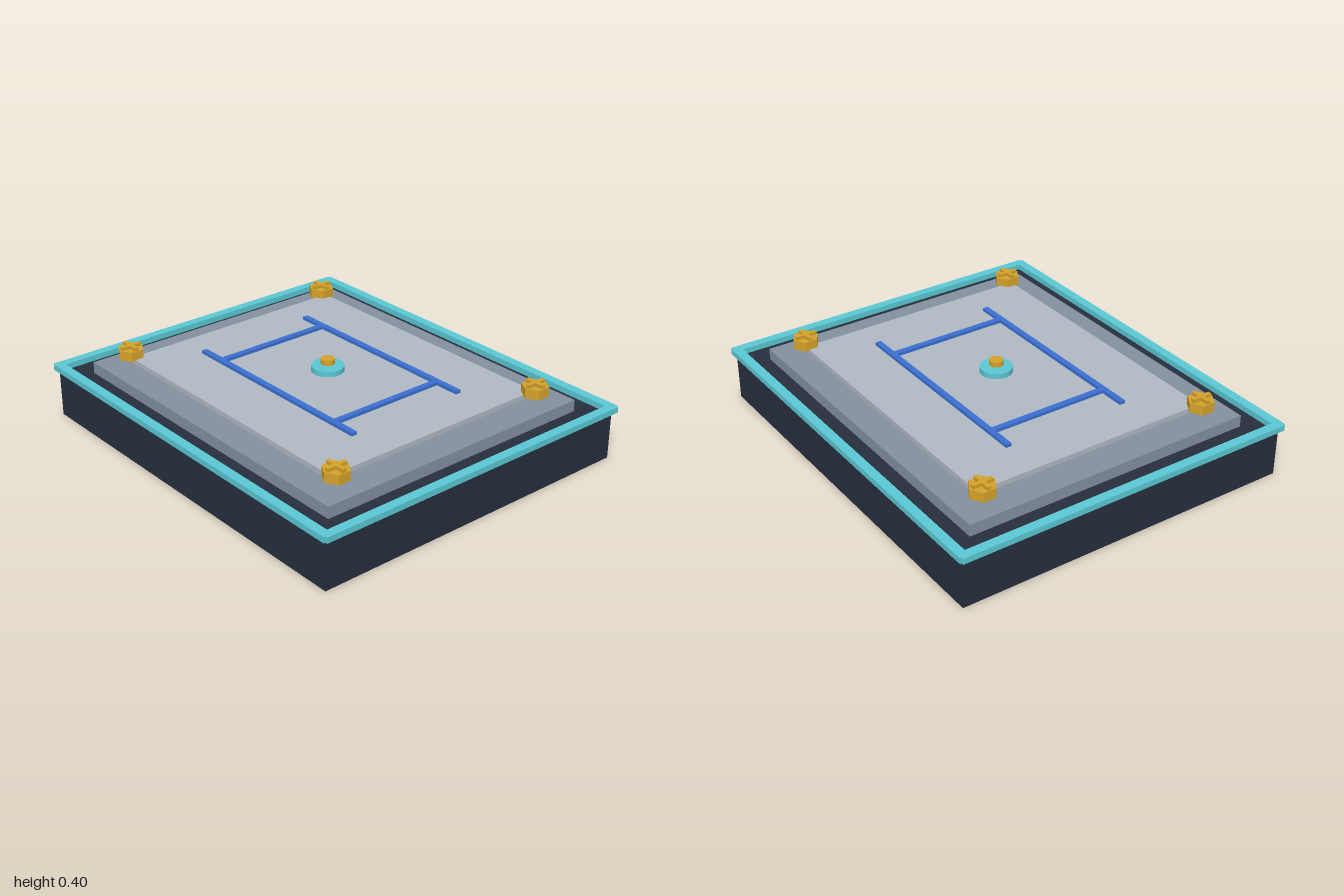
import * as THREE from 'three';

const mat = (color) => new THREE.MeshStandardMaterial({ color });

export function createModel() {
  const model = new THREE.Group();
  const navy = mat(0x262f3e), cyan = mat(0x5bc8d4), slate = mat(0x8490a0);
  const silver = mat(0xb0b8c2), blue = mat(0x3a6fd0), gold = mat(0xd4a22a);
  const goldFlat = mat(0xd4a22a);
  goldFlat.flatShading = true;

  const add = (parent, name, geometry, material, x, y, z) => {
    const mesh = new THREE.Mesh(geometry, material);
    mesh.name = name;
    mesh.position.set(x, y, z);
    parent.add(mesh);
    return mesh;
  };
  // Box given by its width, depth and bottom/top heights
  const slab = (parent, name, material, w, d, y0, y1, x = 0, z = 0) =>
    add(parent, name, new THREE.BoxGeometry(w, y1 - y0, d), material, x, (y0 + y1) / 2, z);
  const disc = (parent, name, material, r, y0, y1, sides, x = 0, z = 0) =>
    add(parent, name, new THREE.CylinderGeometry(r, r, y1 - y0, sides), material, x, (y0 + y1) / 2, z);

  // Base and stacked plates
  slab(model, 'base', navy, 1.95, 1.66, 0, 0.225);
  slab(model, 'lowerPlate', slate, 1.71, 1.43, 0.226, 0.282);
  slab(model, 'upperPlate', silver, 1.44, 1.18, 0.292, 0.316);

  // Rim bars around the edge, and the rail frame on the upper plate
  const rim = new THREE.Group();
  rim.name = 'rim';
  const rails = new THREE.Group();
  rails.name = 'railFrame';
  model.add(rim, rails);
  for (const s of [-1, 1]) {
    slab(rim, 'rimLongBar', cyan, 1.98, 0.045, 0.234, 0.262, 0, s * 0.8275);
    slab(rim, 'rimSideBar', cyan, 0.045, 1.684, 0.234, 0.262, s * 0.9775, 0);
    slab(rails, 'longRail', blue, 1.07, 0.028, 0.323, 0.338, 0, s * 0.304);
    slab(rails, 'crossRail', blue, 0.028, 0.58, 0.323, 0.338, s * 0.4, 0);
  }

  // Central hub with its knob
  disc(model, 'hub', cyan, 0.076, 0.336, 0.362, 32);
  disc(model, 'knob', gold, 0.033, 0.371, 0.395, 24);

  // Hexagonal corner bolts with raised crosses
  for (const x of [-0.74, 0.74]) for (const z of [-0.577, 0.577]) {
    const bolt = new THREE.Group();
    bolt.name = 'cornerBolt';
    bolt.position.set(x, 0, z);
    model.add(bolt);
    disc(bolt, 'boltHead', goldFlat, 0.063, 0.31, 0.357, 6);
    slab(bolt, 'crossBarX', gold, 0.1, 0.02, 0.35, 0.373);
    slab(bolt, 'crossBarZ', gold, 0.02, 0.1, 0.35, 0.373);
  }
  return model;
}
